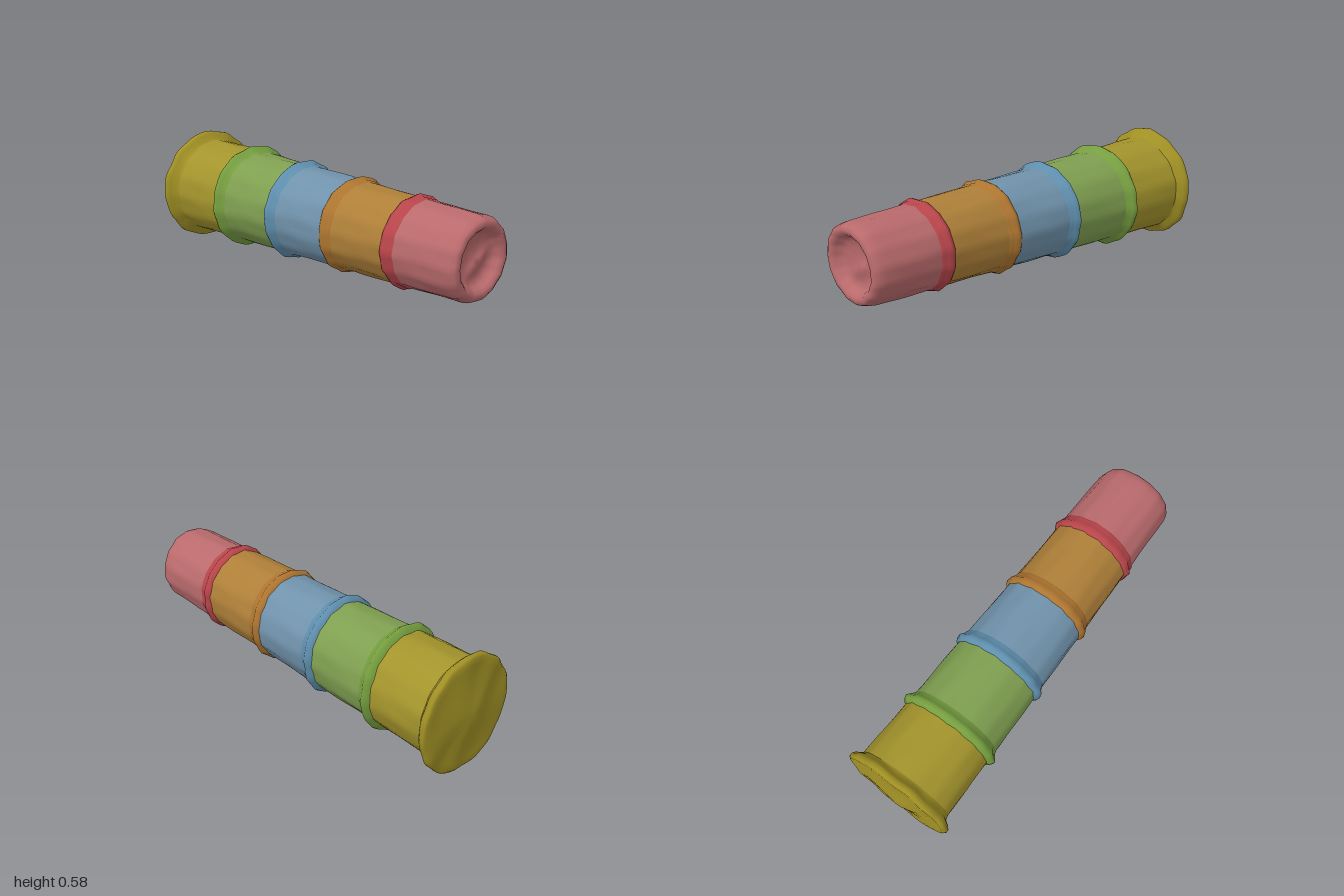
import * as THREE from 'three';
import { mergeVertices } from 'three/addons/utils/BufferGeometryUtils.js';

const PANELS = 15;
const centreX = z => -0.034 - 0.031 * z;
const centreY = z => 0.333 + 0.038 * z;
const bodyRadius = z => 0.224 - 0.028 * z;

// Hand-worked surface: flat panels around the wall plus gentle unevenness
function surfaceFactor(angle, z, phase) {
  const step = (Math.PI * 2) / PANELS;
  const a = angle + phase;
  const local = a - Math.round(a / step) * step;
  const panel = Math.cos(step / 2) / Math.cos(local);
  const wobble = 0.006 * Math.sin(5 * a + 9 * z) + 0.005 * Math.sin(11 * a - 23 * z + phase);
  return 1.012 * panel + wobble;
}

// Turns a (radius, z) profile, listed back to front, around the leaning axis
function turned(name, profile, color, phase, sculpt) {
  let geo = new THREE.LatheGeometry(profile.map(([r, z]) => new THREE.Vector2(r, z)), 60);
  geo.rotateX(Math.PI / 2);
  const p = geo.attributes.position;
  for (let i = 0; i < p.count; i++) {
    const x = p.getX(i), y = p.getY(i), z = p.getZ(i);
    const r = Math.hypot(x, y);
    const f = r > 1e-5 ? surfaceFactor(Math.atan2(y, x), z, phase) : 1;
    const dz = sculpt ? sculpt(x, y, z, r) : 0;
    p.setXYZ(i, x * f + centreX(z), y * f + centreY(z), z + dz);
  }
  geo.deleteAttribute('uv');
  geo.deleteAttribute('normal');
  geo = mergeVertices(geo, 1e-5);
  geo.computeVertexNormals();
  const mesh = new THREE.Mesh(geo, new THREE.MeshStandardMaterial({ color, side: THREE.DoubleSide }));
  mesh.name = name;
  return mesh;
}

// Straight wall with evenly spaced rings
function wall(z0, z1, rings = 8) {
  return Array.from({ length: rings + 1 }, (_, i) => {
    const z = z0 + ((z1 - z0) * i) / rings;
    return [bodyRadius(z), z];
  });
}

export function createModel() {
  const group = new THREE.Group();
  group.name = 'stackedCups';

  // Smallest cup first; each has its lip at the back
  const cups = [
    { name: 'red', lipZ: 0.595, lipR: 0.224, body: 0xb96a6c, lip: 0xb8454b },
    { name: 'orange', lipZ: 0.205, lipR: 0.237, body: 0xae7f38, lip: 0xae7530 },
    { name: 'blue', lipZ: -0.18, lipR: 0.252, body: 0x7092ab, lip: 0x5f8fae },
    { name: 'green', lipZ: -0.57, lipR: 0.269, body: 0x7f9f50, lip: 0x769f40 },
    { name: 'yellow', lipZ: -0.95, lipR: 0.292, body: 0xa3942c, lip: 0xa09024 },
  ];

  cups.forEach((cup, i) => {
    const { lipZ: z, lipR: R } = cup;
    const last = i === cups.length - 1;
    const phase = i * 0.09;
    const neck = z + 0.05;

    // Wall, with the smallest cup closed by a rounded edge and a hollow end
    if (i === 0) {
      const end = [
        [0.193, 0.965], [0.184, 0.987], [0.168, 0.996], [0.15, 0.992], [0.137, 0.978],
        [0.125, 0.957], [0.105, 0.945], [0.08, 0.94], [0.055, 0.938], [0.03, 0.937], [0, 0.937],
      ];
      // Crumpled ridge across the hollow
      const ridge = (x, y, zz, r) => {
        if (zz < 0.93 || r > 0.135) return 0;
        const along = x * 0.82 + y * 0.57, across = y * 0.82 - x * 0.57;
        return 0.02 * Math.exp(-((across + 0.03) ** 2) / 0.0009 - along ** 2 / 0.006);
      };
      group.add(turned('redCupBody', [...wall(neck, 0.94), ...end], cup.body, phase, ridge));
    } else {
      const front = cups[i - 1].lipZ - 0.015;
      group.add(turned(cup.name + 'CupBody', wall(neck, front), cup.body, phase));
    }

    // Flared lip; the largest one is closed by a shallow domed base
    const flare = [[R, z + 0.006], [R - 0.012, z + 0.02], [bodyRadius(neck) + 0.007, z + 0.034], [bodyRadius(neck), neck]];
    const back = last
      ? [[0, -0.997], [0.06, -0.993], [0.12, -0.983], [0.19, -0.974], [0.25, -0.972], [R - 0.012, -0.972], [R, -0.962]]
      : [[bodyRadius(z) - 0.008, z - 0.03], [bodyRadius(z) + 0.006, z - 0.02], [R - 0.006, z - 0.01]];
    const uneven = (x, y, zz, r) => (last && zz < -0.9 ? 0.03 * x * (r / R) + 0.003 * Math.sin(30 * x + 17 * y) : 0);
    group.add(turned(cup.name + 'CupLip', [...back, ...flare], cup.lip, phase, uneven));
  });

  return group;
}
